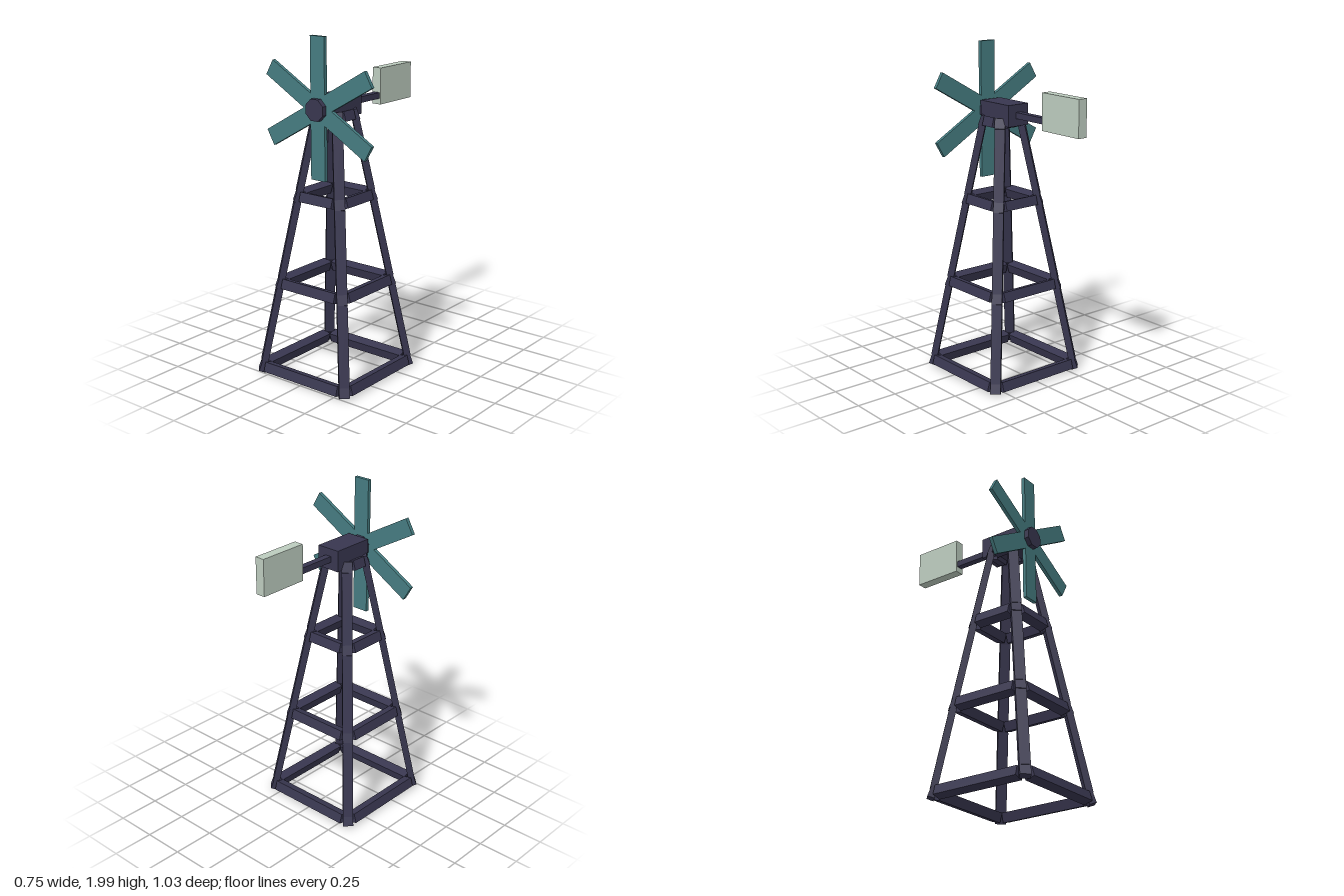
import * as THREE from 'three';

export function createModel() {
  const model = new THREE.Group();
  model.name = 'windPump';
  const mat = (name, color) => {
    const m = new THREE.MeshStandardMaterial({ color, flatShading: true });
    m.name = name;
    return m;
  };
  const frame = mat('darkFrame', 0x38364f);
  const teal = mat('tealBlade', 0x457b80);
  const pale = mat('paleVane', 0xbccbbe);

  const box = (parent, name, m, size, pos, tilt = 0) => {
    const mesh = new THREE.Mesh(new THREE.BoxGeometry(...size), m);
    mesh.name = name;
    mesh.position.set(...pos);
    mesh.rotation.x = tilt;
    parent.add(mesh);
    return mesh;
  };

  // Tower: four identical sides; levels are [height, half width]
  const levels = [[0.043, 0.305], [0.557, 0.228], [1.075, 0.15], [1.545, 0.078]];
  const tower = new THREE.Group();
  tower.name = 'tower';
  tower.position.z = 0.17;
  model.add(tower);
  for (let k = 0; k < 4; k++) {
    const side = new THREE.Group();
    side.name = 'towerSide';
    side.rotation.y = k * Math.PI / 2;
    const corner = new THREE.Group();
    corner.name = 'cornerLeg';
    corner.rotation.y = Math.PI / 4;
    side.add(corner);
    tower.add(side);
    levels.forEach(([y, r], i) => {
      // Crossbar leaning with the side, and the leg joint at its end
      box(side, 'crossbar', frame, [2 * r - 0.066, 0.058, 0.058], [0, y, r], -0.28);
      const d = r * Math.SQRT2;
      box(corner, 'legJoint', frame, [0.06, 0.062, 0.04], [0, y, d], -0.33);
      if (i === 3) return;
      // Leg section up to the next level
      const [y2, r2] = levels[i + 1];
      const d2 = r2 * Math.SQRT2;
      box(corner, 'legSection', frame, [0.06, Math.hypot(y2 - y, d2 - d) - 0.06, 0.04],
        [0, (y + y2) / 2, (d + d2) / 2], -Math.atan2(d - d2, y2 - y));
    });
  }

  // Head, tail arm and vane
  box(model, 'headBox', frame, [0.146, 0.126, 0.256], [0, 1.598, 0.15]);
  box(model, 'tailArm', frame, [0.04, 0.036, 0.25], [0, 1.598, -0.095]);
  box(model, 'tailVane', pale, [0.058, 0.215, 0.3], [0, 1.653, -0.365]);

  // Rotor: hub and six blades
  const rotor = new THREE.Group();
  rotor.name = 'rotor';
  rotor.position.set(0, 1.596, 0.312);
  model.add(rotor);
  const hub = new THREE.Mesh(new THREE.CylinderGeometry(0.066, 0.066, 0.08, 8), frame);
  hub.name = 'hub';
  hub.geometry.rotateY(Math.PI / 8).rotateX(Math.PI / 2);
  rotor.add(hub);
  for (let i = 0; i < 6; i++) {
    const blade = new THREE.Mesh(
      new THREE.BoxGeometry(0.1, 0.37, 0.022).translate(0, 0.219, 0), teal);
    blade.name = 'blade';
    blade.rotation.z = i * Math.PI / 3;
    rotor.add(blade);
  }
  return model;
}
